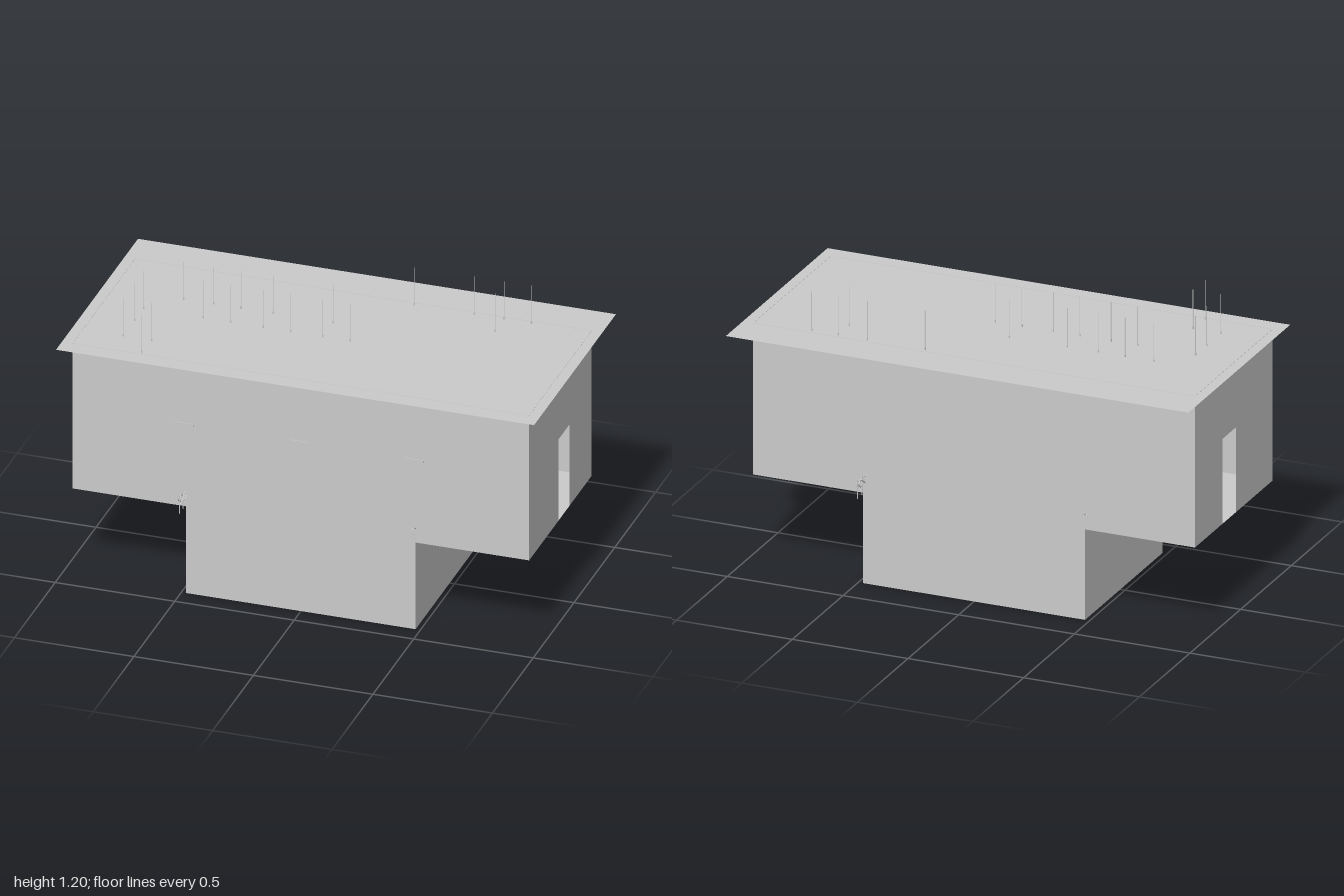
import * as THREE from 'three';

const grey = new THREE.MeshStandardMaterial({ color: 0xcccccc, side: THREE.DoubleSide, flatShading: true });

// Main dimensions of the hall and the pit below it
const HALL = 0.955, PIT = 0.48, FLOOR = 0.387, TOP = 1.035;
const FRONT = 0.418, BACK = -0.348, MID = (FRONT + BACK) / 2, DEPTH = FRONT - BACK;

function add(parent, name, geometry, x = 0, y = 0, z = 0) {
  const mesh = new THREE.Mesh(geometry, grey);
  mesh.name = name;
  mesh.position.set(x, y, z);
  parent.add(mesh);
  return mesh;
}

function outline(points) {
  return new THREE.ShapeGeometry(new THREE.Shape(points.map(([x, y]) => new THREE.Vector2(x, y))));
}

const level = (width, depth) => new THREE.PlaneGeometry(width, depth).rotateX(-Math.PI / 2);
const rod = (radius, height) => new THREE.CylinderGeometry(radius, radius, height, 5);

// Twisted-wire fence running along z from a protruding end
function fence(x, start, direction, spacing) {
  const group = new THREE.Group();
  group.name = 'pitFence';
  const length = 0.84;
  const posts = [0.045];
  for (let d = 0; d <= length; d += spacing) posts.push(d);
  for (const d of posts) add(group, 'fencePost', rod(0.0022, 0.08), x, FLOOR + 0.04, start + direction * d);

  for (let k = 0; k < 3; k++) {
    const path = [];
    for (let i = 0; i <= 48; i++) {
      const d = (i / 48) * length;
      const a = (d / 0.14) * Math.PI * 2 + k * 2.1 + 0.8;
      path.push(new THREE.Vector3(x + 0.005 * Math.cos(a), 0.442 + 0.017 * Math.sin(a), start + direction * d));
    }
    add(group, 'fenceWire', new THREE.TubeGeometry(new THREE.CatmullRomCurve3(path), 96, 0.0025, 5));
  }
  const bar = add(group, 'fenceBar', rod(0.001, length + 0.03), x, 0.445, start + direction * (length / 2 - 0.015));
  bar.rotation.x = Math.PI / 2;
  return group;
}

export function createModel() {
  const model = new THREE.Group();
  model.name = 'hallWithPit';

  // Long T-shaped walls
  const tee = [[-PIT, 0], [PIT, 0], [PIT, FLOOR], [HALL, FLOOR], [HALL, TOP],
    [-HALL, TOP], [-HALL, FLOOR], [-PIT, FLOOR]];
  add(model, 'frontWall', outline(tee), 0, 0, FRONT);
  add(model, 'backWall', outline(tee), 0, 0, BACK);

  // End walls with a doorway, ledges and pit sides (drawn with -z along the shape's x)
  const end = [[-FRONT, FLOOR], [-0.057, FLOOR], [-0.057, 0.75], [0.076, 0.75],
    [0.076, FLOOR], [-BACK, FLOOR], [-BACK, TOP], [-FRONT, TOP]];
  for (const side of [-1, 1]) {
    add(model, 'endWall', outline(end).rotateY(Math.PI / 2), side * HALL);
    add(model, 'ledgeFloor', level(HALL - PIT, DEPTH), side * (HALL + PIT) / 2, FLOOR, MID);
    add(model, 'pitSide', new THREE.PlaneGeometry(DEPTH, FLOOR).rotateY(Math.PI / 2), side * PIT, FLOOR / 2, MID);
  }

  // Overhanging thin roof
  add(model, 'roof', level(2, 1.005), 0, TOP - 0.001, -0.0125);

  // Thin rods standing through the roof
  const rods = [
    [-0.785, 0.295], [-0.67, 0.405], [-0.785, 0.155], [-0.665, 0.295], [-0.785, 0.045],
    [-0.66, -0.08], [-0.535, 0.045], [-0.535, -0.08], [-0.42, 0.045], [-0.42, -0.08],
    [-0.285, 0.045], [-0.285, -0.08], [-0.17, 0.045], [-0.035, 0.045], [-0.035, -0.08],
    [0.08, 0.045], [0.22, -0.33], [0.47, -0.33], [0.595, -0.22], [0.595, -0.33], [0.71, -0.33],
  ];
  for (const [x, z] of rods) {
    add(model, 'roofRod', rod(0.0013, 0.17), x, TOP + 0.083, z);
    add(model, 'rodFoot', rod(0.0035, 0.012), x, TOP + 0.004, z);
  }

  // Fences on both rims of the pit, poking out of opposite walls
  model.add(fence(-0.485, 0.485, -1, 0.094));
  model.add(fence(0.475, -0.415, 1, 0.077));

  // Slim wall shelves showing through the front wall
  for (const x of [-0.49, -0.01, 0.475]) add(model, 'wallShelf', new THREE.BoxGeometry(0.08, 0.01, 0.03), x, 0.754, FRONT - 0.012);

  // Pegs under the ledges
  for (const x of [-0.66, 0.635]) add(model, 'floorPeg', rod(0.003, 0.03), x, FLOOR - 0.013, -0.21);

  return model;
}
